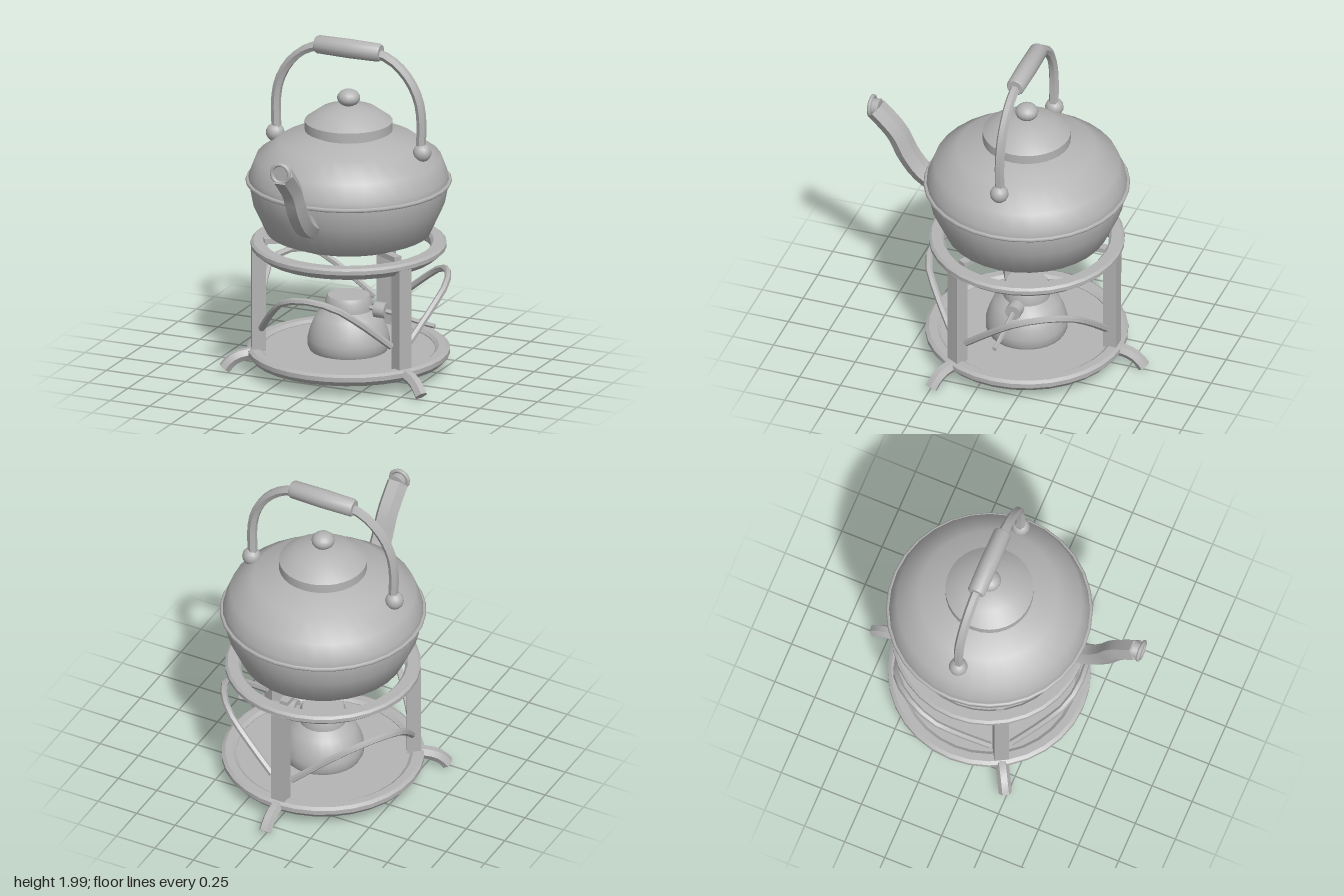
import * as THREE from 'three';
import { toCreasedNormals } from 'three/addons/utils/BufferGeometryUtils.js';

const metal = new THREE.MeshStandardMaterial({ color: 0xb4b4b4 });
metal.name = 'grey metal';

const vec = (p) => new THREE.Vector3(...p);

function add(parent, name, geometry, x = 0, y = 0, z = 0) {
  const mesh = new THREE.Mesh(geometry, metal);
  mesh.name = name;
  mesh.position.set(x, y, z);
  parent.add(mesh);
  return mesh;
}

// Turned part from [radius, height] pairs, listed from bottom to top
function turned(profile, segments = 32, crease = 0.7) {
  const pts = profile.map(([r, y]) => new THREE.Vector2(r, y));
  return toCreasedNormals(new THREE.LatheGeometry(pts, segments), crease);
}

// Six-sided faceted rod with closed ends
function rod(parent, name, points, radius, steps, crease = 0.4) {
  const curve = new THREE.CatmullRomCurve3(points.map(vec));
  const group = new THREE.Group();
  group.name = name;
  add(group, name + 'Shaft', toCreasedNormals(new THREE.TubeGeometry(curve, steps, radius, 6), crease));
  for (const t of [0, 1]) {
    const cap = add(group, name + 'End', new THREE.CircleGeometry(radius, 6));
    cap.position.copy(curve.getPoint(t));
    const out = curve.getTangent(t).multiplyScalar(t ? 1 : -1);
    cap.lookAt(cap.position.clone().add(out));
  }
  parent.add(group);
  return group;
}

function makeKettle() {
  const kettle = new THREE.Group();
  kettle.name = 'kettle';
  add(kettle, 'body', turned([
    [0, 0.81], [0.39, 0.81], [0.475, 0.845], [0.555, 1.02], [0.58, 1.15],
    [0.573, 1.19], [0.535, 1.29], [0.4, 1.39], [0.21, 1.435], [0.21, 1.47],
  ], 32, 1.0));
  add(kettle, 'seam', new THREE.TorusGeometry(0.583, 0.013, 6, 32), 0, 1.15).rotation.x = Math.PI / 2;

  // Lid with its knob
  add(kettle, 'lid', turned([
    [0, 1.455], [0.254, 1.455], [0.254, 1.51], [0.165, 1.575], [0.06, 1.6], [0, 1.602],
  ], 32, 0.8));
  add(kettle, 'lidKnob', new THREE.SphereGeometry(0.067, 16, 12), 0, 1.647).scale.y = 0.75;

  // Spout with a flared lip
  rod(kettle, 'spout', [
    [0, 1.0, 0.5], [0, 1.035, 0.58], [0, 1.09, 0.655], [0, 1.19, 0.73],
    [0, 1.31, 0.79], [0, 1.4, 0.87], [0, 1.45, 0.925],
  ], 0.066, 12);
  add(kettle, 'spoutLip', new THREE.TorusGeometry(0.055, 0.012, 8, 18), 0, 1.465, 0.948);
  const throat = add(kettle, 'spoutThroat', new THREE.CylinderGeometry(0.048, 0.052, 0.05, 12), 0, 1.46, 0.925);
  throat.rotation.x = Math.PI / 2;

  // Bail handle, its pivots and its grip
  const half = [[0.455, 1.37], [0.46, 1.57], [0.44, 1.69], [0.385, 1.8], [0.295, 1.89], [0.19, 1.935]];
  const bail = [
    ...half.map(([x, y]) => [-x, y, 0]),
    ...half.slice().reverse().map(([x, y]) => [x, y, 0]),
  ];
  rod(kettle, 'handleBail', bail, 0.029, 30);
  for (const s of [-1, 1]) {
    add(kettle, 'handlePivot', new THREE.SphereGeometry(0.054, 14, 10), s * 0.465, 1.375);
  }
  const grip = add(kettle, 'handleGrip', turned([
    [0, -0.204], [0.046, -0.204], [0.053, -0.192], [0.056, 0], [0.053, 0.192], [0.046, 0.204], [0, 0.204],
  ], 16), 0, 1.944);
  grip.rotation.z = Math.PI / 2;
  return kettle;
}

function makeStand() {
  const stand = new THREE.Group();
  stand.name = 'stand';
  add(stand, 'lowerRing', turned([
    [0.56, 0.08], [0.585, 0.11], [0.585, 0.137], [0.565, 0.15], [0.52, 0.15],
    [0.5, 0.135], [0.5, 0.095], [0.52, 0.08], [0.56, 0.08],
  ], 32, 0.5));
  add(stand, 'basePlate', new THREE.CylinderGeometry(0.51, 0.51, 0.02, 32), 0, 0.12);
  add(stand, 'upperRing', turned([
    [0.515, 0.71], [0.565, 0.752], [0.565, 0.775], [0.55, 0.787], [0.49, 0.787],
    [0.475, 0.77], [0.475, 0.73], [0.49, 0.71], [0.515, 0.71],
  ], 32, 0.5));

  // Three identical sides, each with a leg, foot, kettle rest and arched brace
  for (let i = 0; i < 3; i++) {
    const side = new THREE.Group();
    side.name = 'standSide';
    side.rotation.y = Math.PI + (i * 2 * Math.PI) / 3;
    add(side, 'leg', new THREE.BoxGeometry(0.085, 0.61, 0.08), 0, 0.445, 0.522);
    add(side, 'kettleRest', new THREE.BoxGeometry(0.05, 0.03, 0.25), 0, 0.797, 0.365);
    rod(side, 'foot', [[0, 0.115, 0.55], [0, 0.11, 0.61], [0, 0.08, 0.675], [0, 0.03, 0.718]], 0.038, 5);
    const brace = new THREE.Group();
    brace.name = 'bracePosition';
    brace.rotation.y = Math.PI;
    rod(brace, 'brace', [
      [-0.41, 0.285, 0.31], [-0.29, 0.43, 0.44], [-0.16, 0.545, 0.545], [0, 0.577, 0.573],
      [0.16, 0.545, 0.545], [0.29, 0.43, 0.44], [0.41, 0.285, 0.31],
    ], 0.02, 12);
    side.add(brace);
    stand.add(side);
  }
  return stand;
}

function makeBurner() {
  const burner = new THREE.Group();
  burner.name = 'burner';
  add(burner, 'burnerBody', turned([
    [0, 0.13], [0.225, 0.13], [0.237, 0.155], [0.237, 0.2], [0.225, 0.25], [0.19, 0.335], [0.137, 0.372],
    [0.135, 0.43], [0.12, 0.455], [0, 0.455],
  ], 28, 0.9));
  // Wick adjuster on the left side
  const knob = add(burner, 'adjusterKnob', toCreasedNormals(new THREE.CylinderGeometry(0.047, 0.047, 0.07, 12), 0.6), 0.205, 0.388);
  knob.rotation.z = Math.PI / 2;
  rod(burner, 'adjusterRod', [[0.1, 0.395, 0], [0.24, 0.385, 0], [0.48, 0.342, 0], [0.545, 0.335, 0]], 0.014, 5);
  return burner;
}

export function createModel() {
  const model = new THREE.Group();
  model.name = 'kettleOnStand';
  const parts = new THREE.Group();
  parts.name = 'parts';
  parts.position.z = -0.12;
  parts.add(makeKettle(), makeStand(), makeBurner());
  model.add(parts);
  return model;
}
